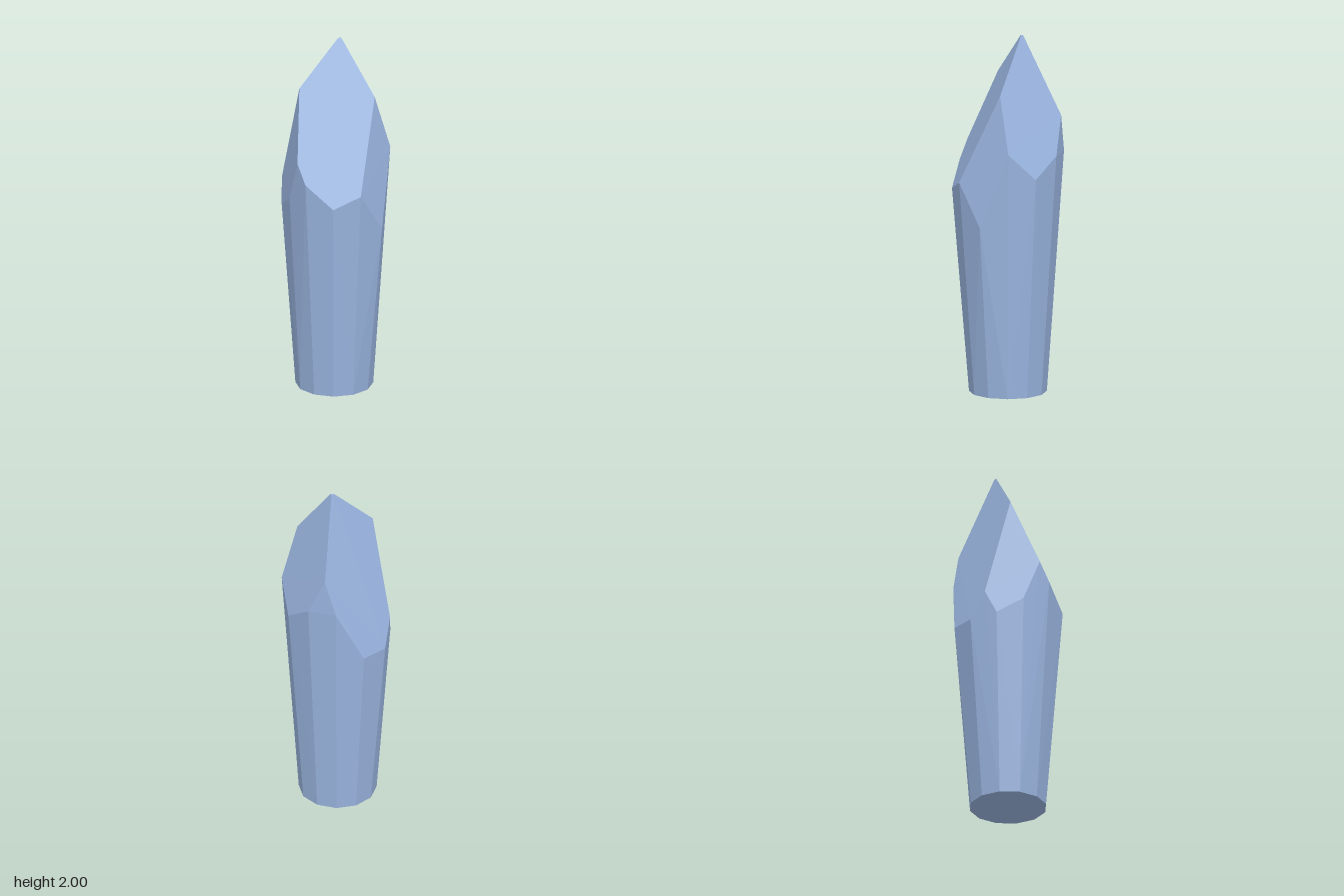
import * as THREE from 'three';
import { ConvexGeometry } from 'three/addons/geometries/ConvexGeometry.js';

export function createModel() {
  const crystalBlue = new THREE.MeshStandardMaterial({ color: 0x9ab5e0 });
  crystalBlue.name = 'crystalBlue';
  const v = (x, y, z) => new THREE.Vector3(x, y, z);
  const points = [];

  // Narrow twelve-sided foot
  for (let i = 0; i < 12; i++) {
    const a = (i * Math.PI) / 6;
    points.push(v(0.213 * Math.cos(a), 0, 0.213 * Math.sin(a)));
  }

  // Shoulder, where the slanted cuts meet the flaring walls
  points.push(
    v(0.305, 0.97, 0), v(0.263, 1.2, 0.155), v(0.153, 1.137, 0.265),
    v(0, 1.265, 0.305), v(-0.06, 1.373, 0.29), v(-0.14, 1.14, 0.243),
    v(-0.25, 1.05, 0.143), v(-0.283, 1.18, 0.087), v(-0.305, 1.03, 0),
    v(-0.265, 1.04, -0.155), v(-0.153, 1.35, -0.266), v(-0.093, 1.56, -0.283),
    v(0, 1.35, -0.307), v(0.153, 1.24, -0.266), v(0.263, 1.39, -0.157),
  );

  // Upper corners and the tiny blunt tip
  points.push(
    v(0.213, 1.7, -0.075), v(-0.137, 1.753, 0.143),
    v(-0.003, 2, -0.082), v(-0.015, 2, -0.088), v(-0.02, 2, -0.07),
  );

  const crystal = new THREE.Mesh(new ConvexGeometry(points), crystalBlue);
  crystal.name = 'crystal';
  const group = new THREE.Group();
  group.name = 'crystalShard';
  group.add(crystal);
  return group;
}
